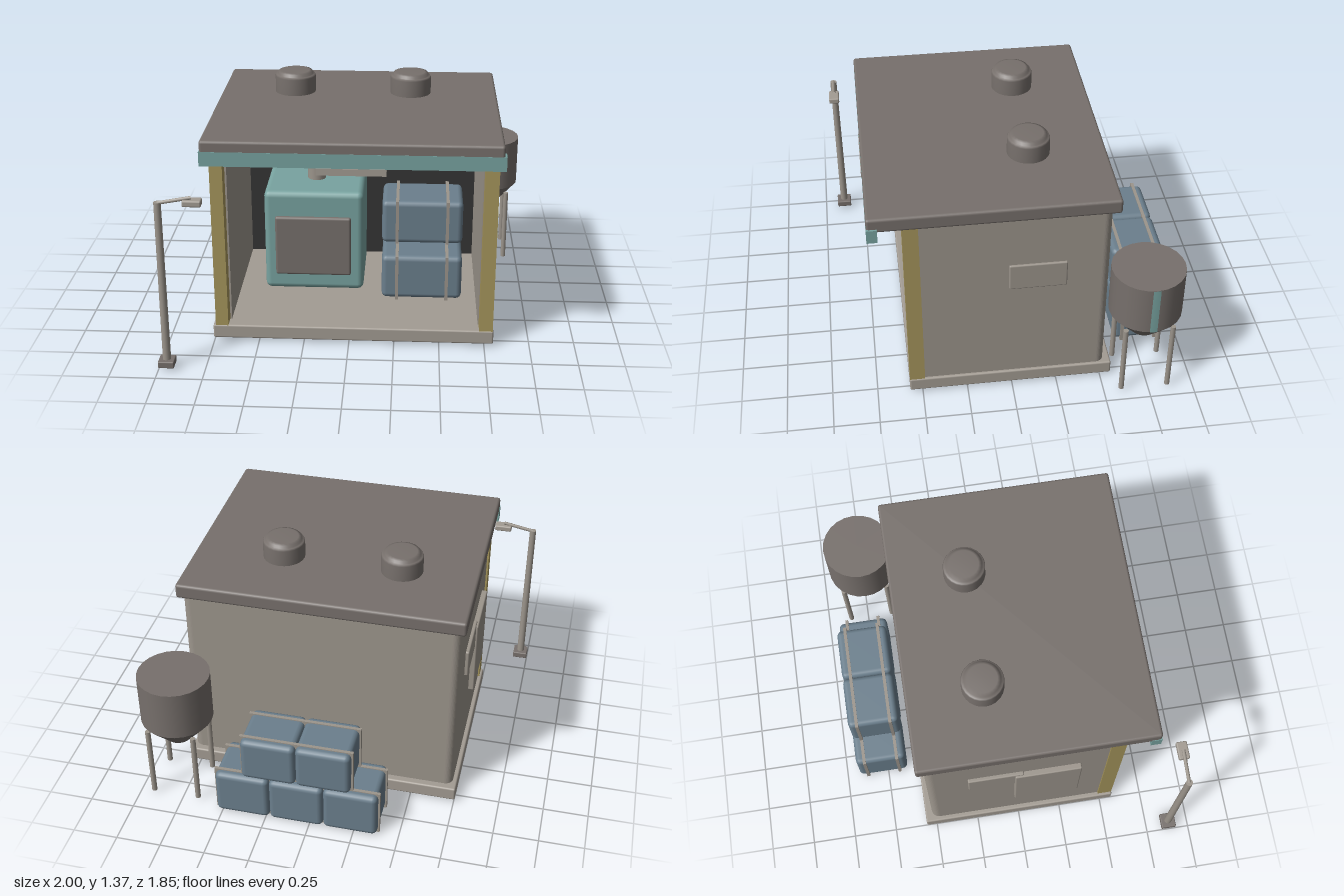
import * as THREE from 'three';
import { RoundedBoxGeometry } from 'three/addons/geometries/RoundedBoxGeometry.js';

const mat = (name, color) => {
  const m = new THREE.MeshStandardMaterial({ color });
  m.name = name;
  return m;
};

export function createModel() {
  const root = new THREE.Group();
  root.name = 'storageShed';

  const roofGrey = mat('roofGrey', 0x77706c);
  const wallGrey = mat('wallGrey', 0x9c958c);
  const slabGrey = mat('slabGrey', 0xa39c93);
  const teal = mat('teal', 0x78a3a0);
  const ochre = mat('ochre', 0xa6965c);
  const baleBlue = mat('baleBlue', 0x6b7f8d);
  const interiorDark = mat('interiorDark', 0x353535);

  const add = (name, geometry, material, x = 0, y = 0, z = 0, parent = root) => {
    const mesh = new THREE.Mesh(geometry, material);
    mesh.name = name;
    mesh.position.set(x, y, z);
    parent.add(mesh);
    return mesh;
  };
  // box given by its minimum and maximum on each axis; r rounds the edges
  const block = (name, material, [x0, x1], [y0, y1], [z0, z1], r = 0, parent = root) => {
    const s = [x1 - x0, y1 - y0, z1 - z0];
    const g = r ? new RoundedBoxGeometry(...s, 2, r) : new THREE.BoxGeometry(...s);
    return add(name, g, material, (x0 + x1) / 2, (y0 + y1) / 2, (z0 + z1) / 2, parent);
  };

  // floor slab and roof
  block('floorSlab', slabGrey, [-0.755, 0.8], [0.015, 0.095], [-0.56, 0.57], 0.01);
  block('roof', roofGrey, [-0.757, 0.805], [1.16, 1.243], [-0.56, 0.745], 0.015);
  block('fascia', teal, [-0.76, 0.815], [1.107, 1.185], [0.69, 0.746]);
  block('lightBar', slabGrey, [-0.157, 0.205], [1.07, 1.107], [0.718, 0.75]);

  // U-shaped walls with rounded back corners (plan drawn with -z upwards)
  const L = -0.73, R = 0.785, back = 0.52, front = -0.49, r = 0.045, t = 0.07;
  const plan = new THREE.Shape();
  plan.moveTo(L, front);
  plan.lineTo(L + t, front);
  plan.lineTo(L + t, back - t);
  plan.lineTo(R - t, back - t);
  plan.lineTo(R - t, front);
  plan.lineTo(R, front);
  plan.lineTo(R, back - r);
  plan.absarc(R - r, back - r, r, 0, Math.PI / 2, false);
  plan.lineTo(L + r, back);
  plan.absarc(L + r, back - r, r, Math.PI / 2, Math.PI, false);
  plan.closePath();
  const walls = new THREE.ExtrudeGeometry(plan, { depth: 1.07, bevelEnabled: false, curveSegments: 5 });
  walls.rotateX(-Math.PI / 2);
  add('walls', walls, wallGrey, 0, 0.093, 0);
  block('innerBackWall', interiorDark, [L + t, R - t], [0.095, 1.16], [-0.45, -0.442]);
  block('ceiling', interiorDark, [L + t, R - t], [1.152, 1.16], [-0.442, 0.57]);

  // corner posts
  block('rightPost', ochre, [-0.74, -0.67], [0.093, 1.162], [0.485, 0.568]);
  block('leftPost', ochre, [0.72, 0.795], [0.093, 1.162], [0.485, 0.568]);

  // outer wall panels
  block('leftWallPanel', wallGrey, [0.77, 0.797], [0.7, 0.86], [-0.29, 0.02], 0.008);
  block('rightWallPanel', wallGrey, [-0.75, -0.715], [0.7, 0.86], [-0.29, 0.02], 0.008);
  block('sideDoor', wallGrey, [-0.762, -0.715], [0.395, 0.85], [-0.03, 0.34], 0.008);

  // roof vents
  const ventProfile = [[0.115, 0], [0.115, 0.095], [0.11, 0.105], [0.097, 0.105], [0.097, 0.12], [0.08, 0.125], [0, 0.125]]
    .map(([x, y]) => new THREE.Vector2(x, y));
  for (const x of [-0.34, 0.316]) add('roofVent', new THREE.LatheGeometry(ventProfile, 24), roofGrey, x, 1.24, -0.143);

  // machine with front panel and flue
  const machine = new THREE.Group();
  machine.name = 'machine';
  root.add(machine);
  block('machineBody', teal, [-0.51, 0.062], [0.11, 0.72], [-0.37, 0.13], 0.035, machine);
  block('machinePanel', roofGrey, [-0.447, -0.01], [0.21, 0.572], [0.1, 0.15], 0.014, machine);
  add('flue', new THREE.CylinderGeometry(0.058, 0.053, 0.38, 20), wallGrey, -0.222, 0.895, -0.12, machine);

  // bale with two straps; straps sit along the x or z axis
  const bale = (cx, y0, cz, w, h, d, alongX, offset) => {
    const g = new THREE.Group();
    g.name = 'bale';
    g.position.set(cx, y0 + h / 2, cz);
    root.add(g);
    add('baleBody', new RoundedBoxGeometry(w, h, d, 2, 0.03), baleBlue, 0, 0, 0, g);
    for (const s of [-offset, offset]) {
      const size = alongX ? [0.018, h + 0.01, d + 0.02] : [w + 0.02, h + 0.01, 0.018];
      add('strap', new THREE.BoxGeometry(...size), wallGrey, alongX ? s : 0, 0, alongX ? 0 : s, g);
    }
  };
  bale(0.4, 0.098, 0.04, 0.46, 0.265, 0.32, true, 0.143);
  bale(0.4, 0.365, -0.14, 0.47, 0.262, 0.32, true, 0.146);
  for (const x of [-0.23, 0.075, 0.38]) bale(x, 0.005, -0.777, 0.303, 0.27, 0.295, false, 0.097);
  for (const x of [-0.08, 0.225]) bale(x, 0.28, -0.777, 0.303, 0.26, 0.295, false, 0.097);

  // hopper tank on four legs
  const tank = new THREE.Group();
  tank.name = 'tank';
  tank.position.set(0.793, 0, -0.727);
  root.add(tank);
  add('tankShell', new THREE.CylinderGeometry(0.2, 0.2, 0.29, 24), roofGrey, 0, 0.635, 0, tank);
  add('tankCone', new THREE.CylinderGeometry(0.2, 0.07, 0.15, 24), roofGrey, 0, 0.415, 0, tank);
  add('tankStripe', new THREE.CylinderGeometry(0.204, 0.204, 0.29, 4, 1, true, Math.PI / 2 - 0.1, 0.2), teal, 0, 0.636, 0, tank);
  for (const x of [-0.13, 0.13]) for (const z of [-0.13, 0.13])
    add('tankLeg', new THREE.CylinderGeometry(0.015, 0.015, 0.435, 10), wallGrey, x, 0.232, z, tank);

  // lamp post
  const lamp = new THREE.Group();
  lamp.name = 'lampPost';
  lamp.position.set(-0.957, 0, 0.88);
  root.add(lamp);
  block('lampBase', roofGrey, [-0.043, 0.043], [0.015, 0.053], [-0.043, 0.043], 0.006, lamp);
  add('lampPole', new THREE.CylinderGeometry(0.019, 0.022, 0.91, 14), wallGrey, 0, 0.505, 0, lamp);
  const armPath = new THREE.LineCurve3(new THREE.Vector3(0, 0.955, 0), new THREE.Vector3(0.177, 0.988, 0));
  add('lampArm', new THREE.TubeGeometry(armPath, 1, 0.01, 8), wallGrey, 0, 0, 0, lamp);
  block('lampHead', slabGrey, [0.13, 0.228], [0.945, 0.979], [-0.03, 0.03], 0.008, lamp);

  return root;
}
